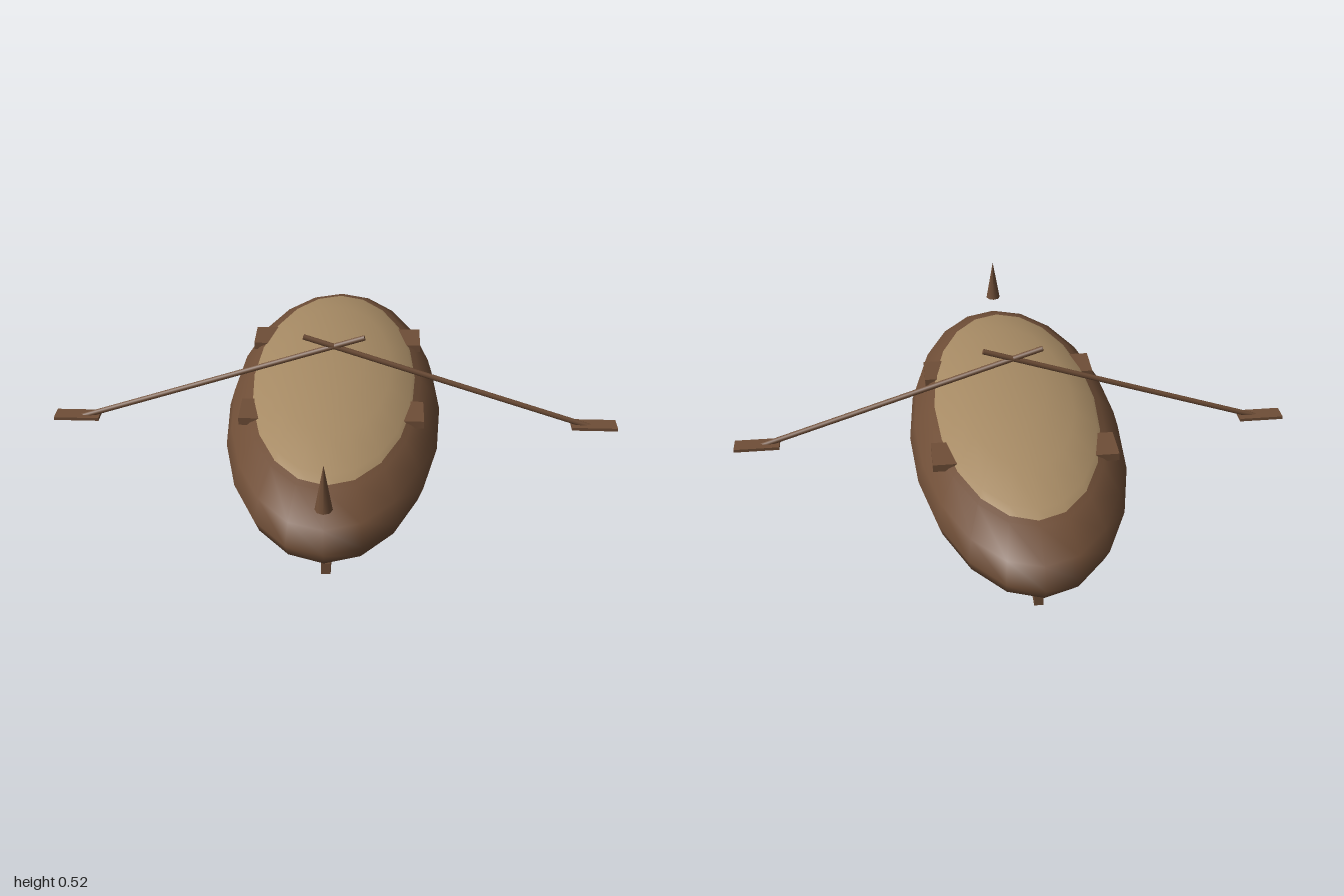
import * as THREE from 'three';

export function createModel() {
  const group = new THREE.Group();
  const wood = new THREE.MeshStandardMaterial({ name: 'brown wood', color: 0x6f4e37 });
  const deckTan = new THREE.MeshStandardMaterial({ name: 'tan deck', color: 0xa68a64 });

  const add = (name, geometry, material, x, y, z) => {
    const mesh = new THREE.Mesh(geometry, material);
    mesh.name = name;
    mesh.position.set(x, y, z);
    group.add(mesh);
    return mesh;
  };
  // Smooth, coarse ellipsoid with given half-sizes
  const ellipsoid = (rx, ry, rz) => new THREE.SphereGeometry(1, 20, 10).scale(rx, ry, rz);

  // Hull, and the deck that bulges through its top
  add('hull', ellipsoid(0.375, 0.196, 0.865), wood, 0, 0.2, 0);
  add('deck', ellipsoid(0.338, 0.158, 0.79), deckTan, 0, 0.242, 0);

  // Keel beam and bow spike
  add('keel', new THREE.BoxGeometry(0.03, 0.043, 1.4), wood, 0, 0.0215, 0);
  add('bowSpike', new THREE.ConeGeometry(0.027, 0.155, 8), wood, 0, 0.408, 0.812);

  const up = new THREE.Vector3(0, 1, 0);
  for (const [side, s] of [['left', 1], ['right', -1]]) {
    // Blocks along the gunwale
    for (const [end, z] of [['Front', 0.243], ['Back', -0.298]]) {
      add(side + end + 'Block', new THREE.BoxGeometry(0.08, 0.026, 0.13), wood, s * 0.268, 0.318, z);
    }
    // Sloping oar shaft, crossing its twin above the deck
    const grip = new THREE.Vector3(-s * 0.105, 0.507, 0.054);
    const tip = new THREE.Vector3(s * 0.912, 0.169, 0.054);
    const axis = tip.clone().sub(grip);
    const mid = grip.clone().add(tip).multiplyScalar(0.5);
    const shaft = add(side + 'OarShaft', new THREE.CylinderGeometry(0.01, 0.01, axis.length(), 8),
      wood, mid.x, mid.y, mid.z);
    shaft.quaternion.setFromUnitVectors(up, axis.normalize());
    // Flat oar blade
    add(side + 'OarBlade', new THREE.BoxGeometry(0.16, 0.011, 0.06), wood, s * 0.92, 0.175, 0.052);
  }
  return group;
}
